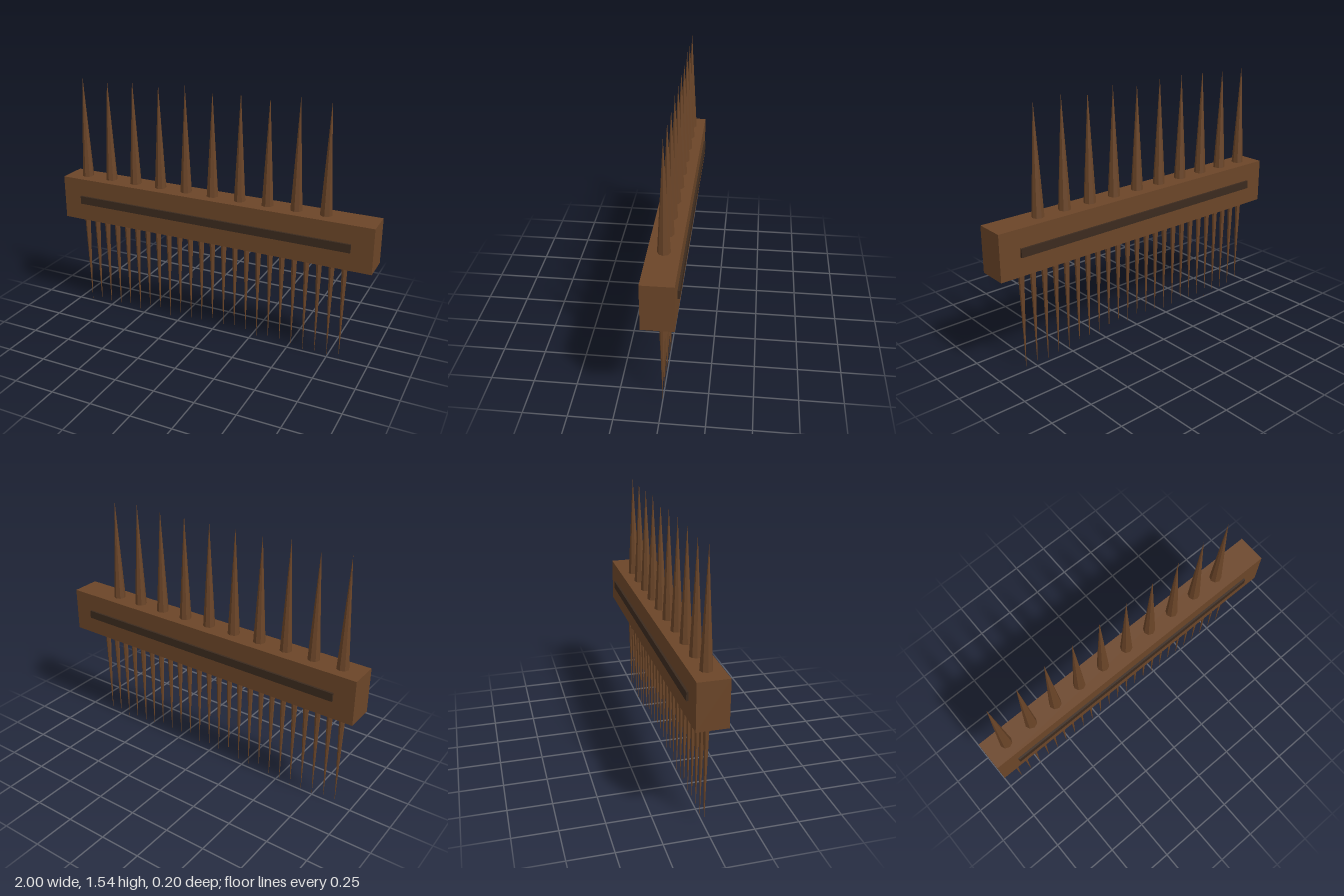
import * as THREE from 'three';

export function createModel() {
  const model = new THREE.Group();
  model.name = 'spikedComb';

  const wood = new THREE.MeshStandardMaterial({ color: 0x6b4528, flatShading: true });
  wood.name = 'brown wood';
  const inlay = new THREE.MeshStandardMaterial({ color: 0x3b2a1e, flatShading: true });
  inlay.name = 'dark inlay';

  const BOTTOM = 0.63, TOP = 0.9;

  function add(name, geometry, material, x, y, z) {
    const mesh = new THREE.Mesh(geometry, material);
    mesh.name = name;
    mesh.position.set(x, y, z);
    model.add(mesh);
    return mesh;
  }

  // Cone with its base at baseY and its point at tipY, up or down
  function spike(name, x, baseY, tipY, radius, sides) {
    const cone = new THREE.ConeGeometry(radius, Math.abs(tipY - baseY), sides);
    if (tipY < baseY) cone.rotateX(Math.PI);
    add(name, cone, wood, x, (baseY + tipY) / 2, 0);
  }

  // Long bar
  add('bar', new THREE.BoxGeometry(2, TOP - BOTTOM, 0.175), wood, 0, (TOP + BOTTOM) / 2, 0);

  // Raised dark strip on each face of the bar
  for (const side of [1, -1]) {
    add(side > 0 ? 'frontStrip' : 'backStrip',
      new THREE.BoxGeometry(1.75, 0.05, 0.025), inlay, 0, 0.765, side * 0.0875);
  }

  // Large upper spikes with slightly uneven heights
  const tips = [1.54, 1.53, 1.545, 1.535, 1.545, 1.53, 1.545, 1.535, 1.545, 1.535];
  tips.forEach((tip, i) => spike('upperSpike' + (i + 1), -0.875 + i * 0.175, TOP, tip, 0.036, 8));

  // Fine lower teeth, shorter toward the middle
  for (let i = 0; i < 24; i++) {
    const x = -0.9 + i * 0.075;
    spike('lowerTooth' + (i + 1), x, BOTTOM, 0.021 + 0.021 * Math.cos(x * 4.6), 0.018, 6);
  }

  return model;
}
